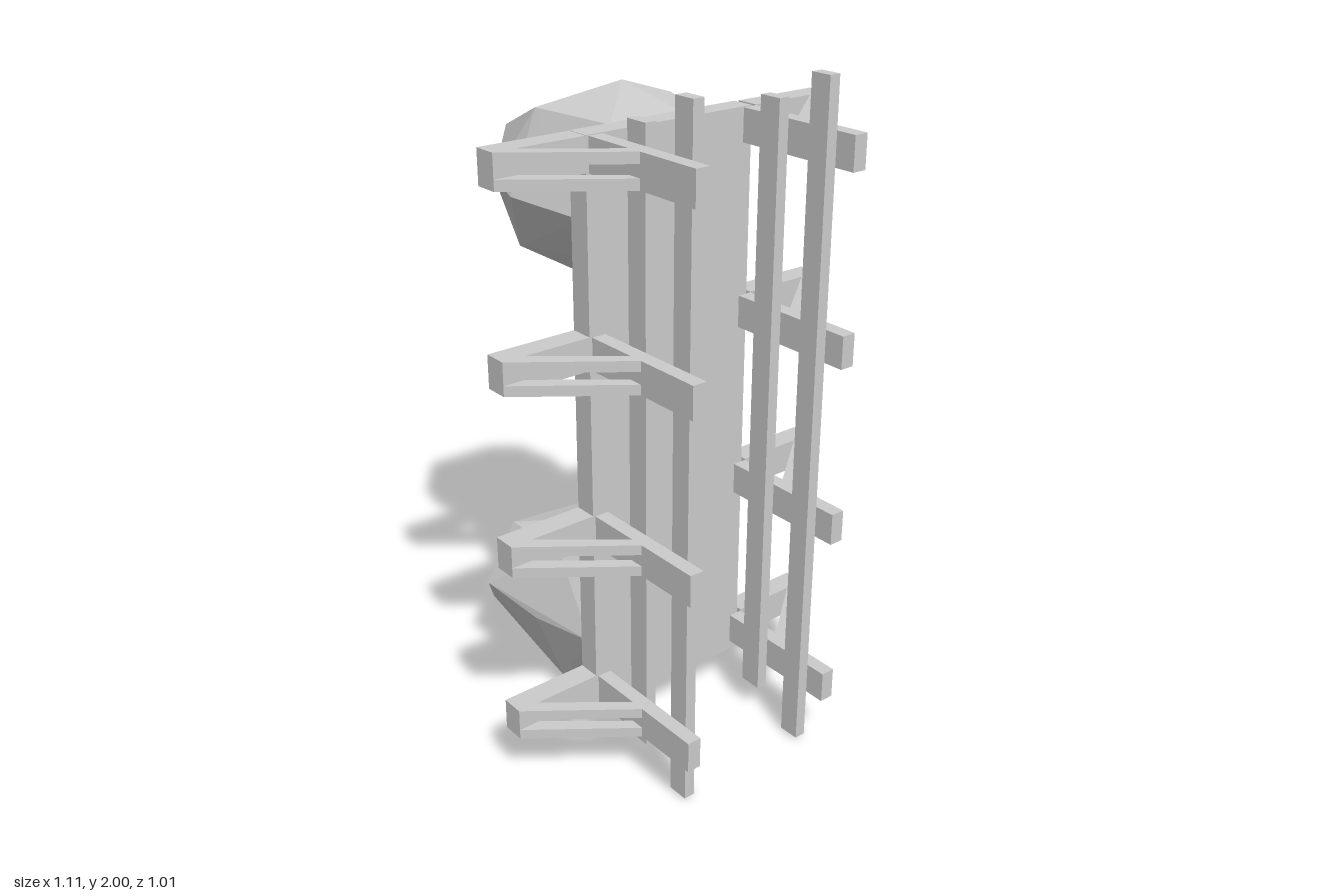
import * as THREE from 'three';
import { ConvexGeometry } from 'three/addons/geometries/ConvexGeometry.js';

const material = new THREE.MeshStandardMaterial({ color: 0xcccccc, flatShading: true });

function add(parent, name, geometry) {
  const mesh = new THREE.Mesh(geometry, material);
  mesh.name = name;
  parent.add(mesh);
  return mesh;
}

// Box given by its minimum and maximum on each axis
function box(parent, name, [x0, x1], [y0, y1], [z0, z1]) {
  const mesh = add(parent, name, new THREE.BoxGeometry(Math.abs(x1 - x0), y1 - y0, z1 - z0));
  mesh.position.set((x0 + x1) / 2, (y0 + y1) / 2, (z0 + z1) / 2);
}

// Plate with an outline in x and z, extruded upwards
function plate(parent, name, outline, y0, y1) {
  const shape = new THREE.Shape(outline.map(([x, z]) => new THREE.Vector2(x, -z)));
  const geometry = new THREE.ExtrudeGeometry(shape, { depth: y1 - y0, bevelEnabled: false });
  geometry.rotateX(-Math.PI / 2);
  add(parent, name, geometry).position.y = y0;
}

function rock(parent, name, points) {
  add(parent, name, new ConvexGeometry(points.map((p) => new THREE.Vector3(...p))));
}

export function createModel() {
  const model = new THREE.Group();
  model.name = 'bridge';

  // Flat deck
  box(model, 'deck', [-0.285, 0.27], [0.13, 1.86], [0.023, 0.092]);

  for (const s of [-1, 1]) {
    const side = new THREE.Group();
    side.name = s > 0 ? 'leftSide' : 'rightSide';
    model.add(side);

    // Long handrails on the inner faces of the posts
    box(side, 'outerRail', [s * 0.203, s * 0.237], [0.01, 2], [0.378, 0.442]);
    box(side, 'innerRail', [s * 0.203, s * 0.237], [0.095, 1.915], [0.198, 0.268]);

    // Four brackets: cross beam, post and a pair of diagonal slats
    for (let i = 0; i < 4; i++) {
      const y = 0.165 + i * 0.533, top = y + 0.095;
      const bracket = new THREE.Group();
      bracket.name = 'bracket';
      side.add(bracket);
      plate(bracket, 'beam', [[s * 0.285, 0.023], [s * 0.557, 0.023], [s * 0.557, 0.092], [s * 0.285, 0.092]], y, top);
      box(bracket, 'post', [s * 0.237, s * 0.28], [y, top], [0.097, 0.505]);
      const diagonal = [[s * 0.557, 0.092], [s * 0.49, 0.092], [s * 0.28, 0.26], [s * 0.28, 0.302]];
      plate(bracket, 'lowerBrace', diagonal, y, y + 0.03);
      plate(bracket, 'upperBrace', diagonal, top - 0.03, top);
    }
  }

  // Boulders fixed to the back of the deck at both ends
  rock(model, 'upperRock', [
    [-0.155, 1.855, 0.022], [0.075, 1.86, 0.022], [0.16, 1.83, 0.022], [0.25, 1.66, 0.022],
    [0.17, 1.5, 0.022], [-0.14, 1.48, 0.022], [-0.25, 1.62, 0.022],
    [-0.2, 1.86, -0.25], [0.07, 1.905, -0.22], [0.18, 1.87, -0.14], [0.205, 1.855, -0.31],
    [0.29, 1.68, -0.25], [0.26, 1.68, -0.1], [-0.29, 1.63, -0.25], [-0.27, 1.66, -0.36],
    [-0.155, 1.77, -0.465], [0.12, 1.76, -0.46], [0.2, 1.67, -0.46],
    [0.18, 1.49, -0.485], [-0.15, 1.5, -0.48], [0.2, 1.43, -0.39], [-0.2, 1.45, -0.35],
    [0.1, 1.385, -0.28], [-0.1, 1.39, -0.22], [0.12, 1.4, -0.14], [0.23, 1.48, -0.2],
  ]);
  rock(model, 'lowerRock', [
    [-0.12, 0.56, 0.022], [0.15, 0.55, 0.022], [0.26, 0.31, 0.022], [0.17, 0.13, 0.022],
    [-0.17, 0.14, 0.022], [-0.255, 0.33, 0.022],
    [0.13, 0.53, -0.14], [-0.05, 0.545, -0.28], [0.19, 0.5, -0.31], [-0.2, 0.51, -0.2],
    [-0.18, 0.49, -0.485], [0.12, 0.47, -0.48], [0.28, 0.315, -0.16], [0.285, 0.26, -0.28],
    [0.22, 0.31, -0.475], [-0.3, 0.32, -0.46], [-0.28, 0.3, -0.22], [-0.27, 0.25, -0.48],
    [0.16, 0.125, -0.5], [-0.17, 0.13, -0.505], [0.18, 0.002, -0.17], [0.16, 0.03, -0.28],
    [-0.2, 0.065, -0.2], [-0.18, 0.07, -0.35],
  ]);

  return model;
}
